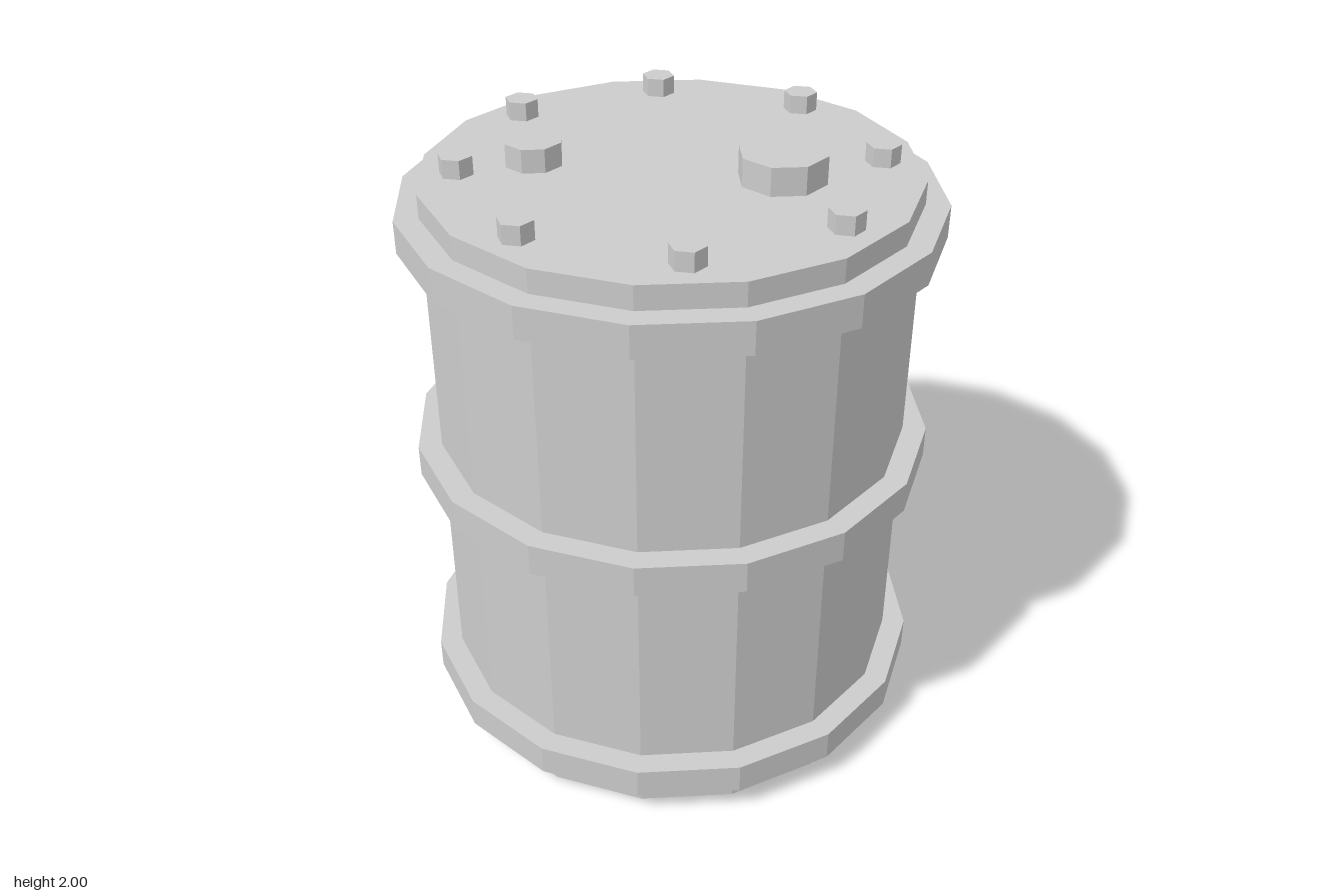
import * as THREE from 'three';

export function createModel() {
  const model = new THREE.Group();
  const greyMetal = new THREE.MeshStandardMaterial({ color: 0xcccccc, flatShading: true });
  greyMetal.name = 'greyMetal';

  // Upright prism between two heights; "flat" turns a side, not a corner, to the front
  function prism(name, radius, sides, y0, y1, x = 0, z = 0, flat = true) {
    const geometry = new THREE.CylinderGeometry(radius, radius, y1 - y0, sides, 1, false, flat ? Math.PI / sides : 0);
    const mesh = new THREE.Mesh(geometry, greyMetal);
    mesh.name = name;
    mesh.position.set(x, (y0 + y1) / 2, z);
    model.add(mesh);
  }

  const lidY = 1.91;

  // Drum body and its three hoops
  prism('body', 0.77, 16, 0, lidY);
  [['lowerHoop', 0.097], ['middleHoop', 0.93], ['upperHoop', 1.73]].forEach(([name, y]) => {
    prism(name, 0.846, 16, y, y + 0.104);
  });

  // Ring of hexagonal lid bolts
  for (let i = 0; i < 8; i++) {
    const a = (i * Math.PI) / 4;
    prism(`lidBolt${i + 1}`, 0.054, 6, lidY, 1.97, 0.647 * Math.sin(a), 0.647 * Math.cos(a), false);
  }

  // Large and small octagonal bung caps
  prism('largeBungCap', 0.138, 8, lidY, 2.0, 0.305, -0.155);
  prism('smallBungCap', 0.092, 8, lidY, 1.985, -0.342, 0.245);

  return model;
}
